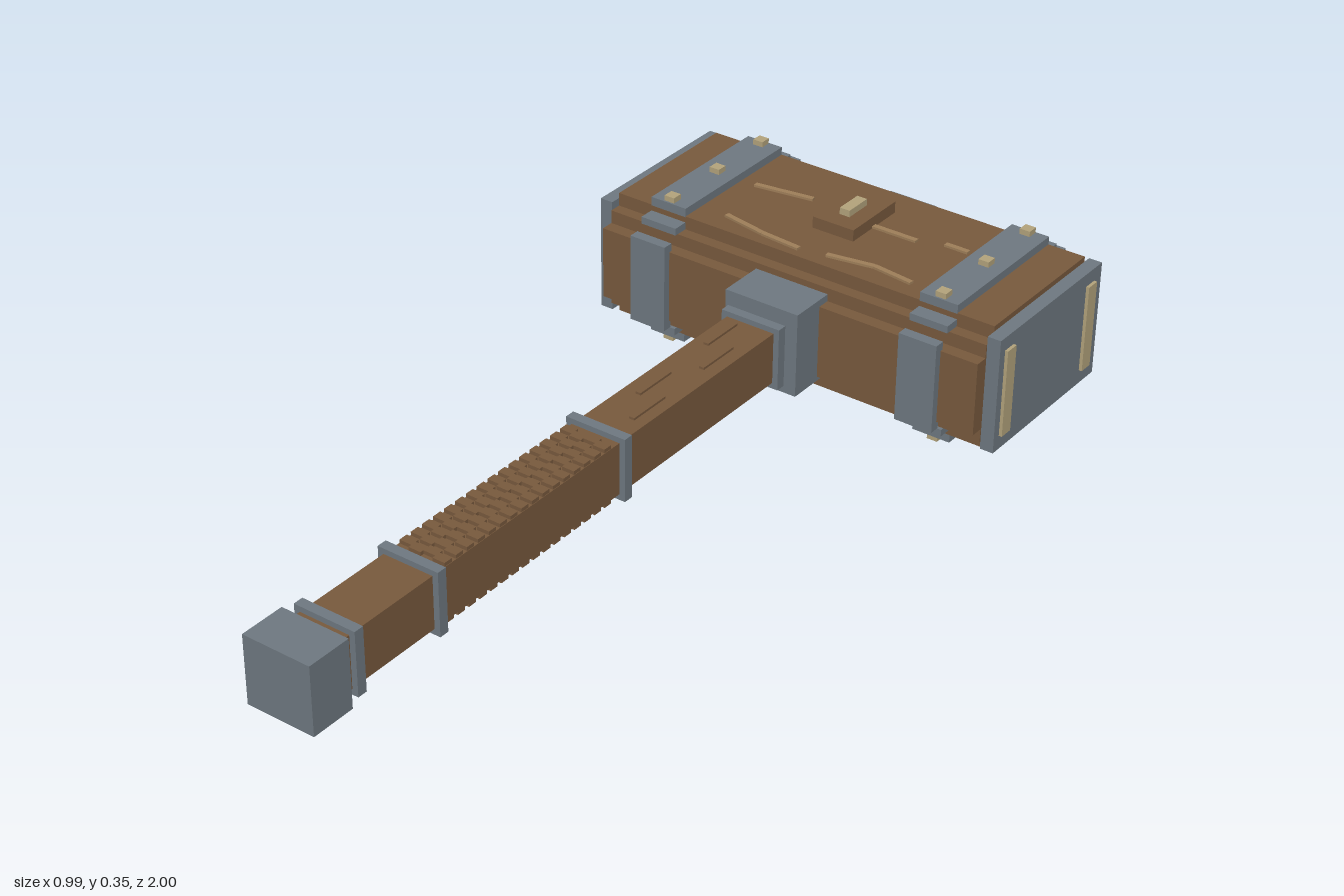
import * as THREE from 'three';

const material = (name, color) => {
  const m = new THREE.MeshStandardMaterial({ color });
  m.name = name;
  return m;
};

export function createModel() {
  const wood = material('wood', 0x7a5b3e);
  const steel = material('steel', 0x707a82);
  const brass = material('brass', 0xb5a57d);
  const grain = material('lightGrain', 0xa0805a);
  const hammer = new THREE.Group();
  hammer.name = 'warHammer';

  // Box given by its lower and upper limits on each axis
  const box = (name, mat, [x0, x1], [y0, y1], [z0, z1], parent = hammer) => {
    const mesh = new THREE.Mesh(new THREE.BoxGeometry(x1 - x0, y1 - y0, z1 - z0), mat);
    mesh.position.set((x0 + x1) / 2, (y0 + y1) / 2, (z0 + z1) / 2);
    mesh.name = name;
    parent.add(mesh);
    return mesh;
  };
  const group = (name) => {
    const g = new THREE.Group();
    g.name = name;
    hammer.add(g);
    return g;
  };

  const CY = 0.172, CZ = -0.744; // centre of the head
  const span = (c, h) => [c - h, c + h];

  // Head block: cross-section with two small steps at each corner
  const quarter = [[0.231, 0.082], [0.202, 0.082], [0.202, 0.112], [0.175, 0.112], [0.175, 0.142]];
  const flip = (sx, sy) => quarter.map(([z, y]) => new THREE.Vector2(z * sx, y * sy));
  const profile = [
    ...flip(1, 1), ...flip(-1, 1).reverse(), ...flip(-1, -1), ...flip(1, -1).reverse(),
  ];
  const headGeo = new THREE.ExtrudeGeometry(new THREE.Shape(profile), { depth: 0.92, bevelEnabled: false });
  headGeo.translate(0, 0, -0.46).rotateY(-Math.PI / 2);
  const head = new THREE.Mesh(headGeo, wood);
  head.position.set(0, CY, CZ);
  head.name = 'headBlock';
  hammer.add(head);

  for (const s of [-1, 1]) {
    const side = s > 0 ? 'left' : 'right';
    const xs = (a, b) => (s > 0 ? [a, b] : [-b, -a]);

    // Striking face with two brass strips
    const face = group(side + 'StrikingFace');
    box('facePlate', steel, xs(0.46, 0.49), [0.043, 0.302], [-0.938, -0.545], face);
    for (const z of [-0.895, -0.58]) {
      box('faceStrip', brass, xs(0.488, 0.497), [0.075, 0.272], span(z, 0.016), face);
    }

    // Steel band made of plates that follow the stepped block
    const band = group(side + 'Band');
    const bx = xs(0.287, 0.375);
    for (const v of [-1, 1]) {
      const ys = (a, b) => (v > 0 ? [CY + a, CY + b] : [CY - b, CY - a]);
      box('bandCap', steel, bx, ys(0.14, 0.16), span(CZ, 0.175), band);
      for (const d of [-1, 1]) {
        const zs = (a, b) => (d > 0 ? [CZ + a, CZ + b] : [CZ - b, CZ - a]);
        box('bandStep', steel, bx, ys(0.112, 0.128), zs(0.17, 0.21), band);
      }
      // Brass studs
      for (const z of [-0.905, -0.745, -0.585]) {
        box('stud', brass, span(s * 0.332, 0.012), ys(0.158, 0.172), span(z, 0.012), band);
      }
    }
    box('bandFront', steel, bx, span(CY, 0.1), [-0.52, -0.496], band);
    box('bandBack', steel, bx, span(CY, 0.1), [-0.994, -0.97], band);
  }

  // Collar, back plate and top boss
  box('collar', steel, [-0.088, 0.088], [0.08, 0.27], [-0.545, -0.435]);
  box('backPlate', steel, [-0.057, 0.057], [0.088, 0.265], [-1.0, -0.97]);
  box('topBoss', wood, [-0.05, 0.05], [0.31, 0.34], [-0.845, -0.688]);
  box('topBossInlay', brass, [-0.012, 0.012], [0.335, 0.355], [-0.795, -0.73]);

  // Wood grain: polylines of thin raised strips on top and bottom, as [x, z]
  const grainLines = [
    [[-0.25, -0.768], [-0.195, -0.776], [-0.115, -0.788]],
    [[0.05, -0.765], [0.155, -0.765]],
    [[0.21, -0.788], [0.265, -0.788]],
    [[-0.22, -0.622], [-0.115, -0.602], [-0.02, -0.594]],
    [[0.04, -0.606], [0.145, -0.624], [0.24, -0.612]],
  ];
  const grainGroup = group('woodGrain');
  for (const y of [CY + 0.1435, CY - 0.1435]) {
    for (const line of grainLines) {
      for (let i = 0; i + 1 < line.length; i++) {
        const [[x0, z0], [x1, z1]] = [line[i], line[i + 1]];
        const strip = new THREE.Mesh(
          new THREE.BoxGeometry(Math.hypot(x1 - x0, z1 - z0), 0.007, 0.012), grain);
        strip.position.set((x0 + x1) / 2, y, (z0 + z1) / 2);
        strip.rotation.y = -Math.atan2(z1 - z0, x1 - x0);
        strip.name = 'grainStrip';
        grainGroup.add(strip);
      }
    }
  }

  // Handle, rings and pommel
  box('handle', wood, [-0.057, 0.057], [0.12, 0.235], [-0.44, 0.91]);
  for (const z of [-0.408, 0.1, 0.645, 0.866]) {
    box('handleRing', steel, [-0.07, 0.07], [0.107, 0.247], span(z, 0.011));
  }
  box('pommel', steel, [-0.077, 0.077], [0.1, 0.25], [0.9, 1.0]);

  // Grip: staggered ribs on the top and bottom of the handle
  const grip = group('grip');
  const pitch = 0.031;
  for (let i = 0; i < 16; i++) {
    for (const col of [0, 1, 2, 3]) {
      const z = 0.128 + i * pitch + (col % 2) * 0.008;
      const x = -0.056 + col * 0.028;
      box('gripRib', wood, [x, x + 0.028], [0.112, 0.243], [z, z + 0.02], grip);
    }
  }

  // Raised grain on the plain part of the handle
  const handleGrain = group('handleGrain');
  for (const [x, z] of [[-0.025, -0.33], [0.022, -0.25], [-0.02, -0.1], [0.025, -0.02]]) {
    box('handleGrainStrip', wood, span(x, 0.006), [0.115, 0.24], span(z, 0.05), handleGrain);
  }
  return hammer;
}
